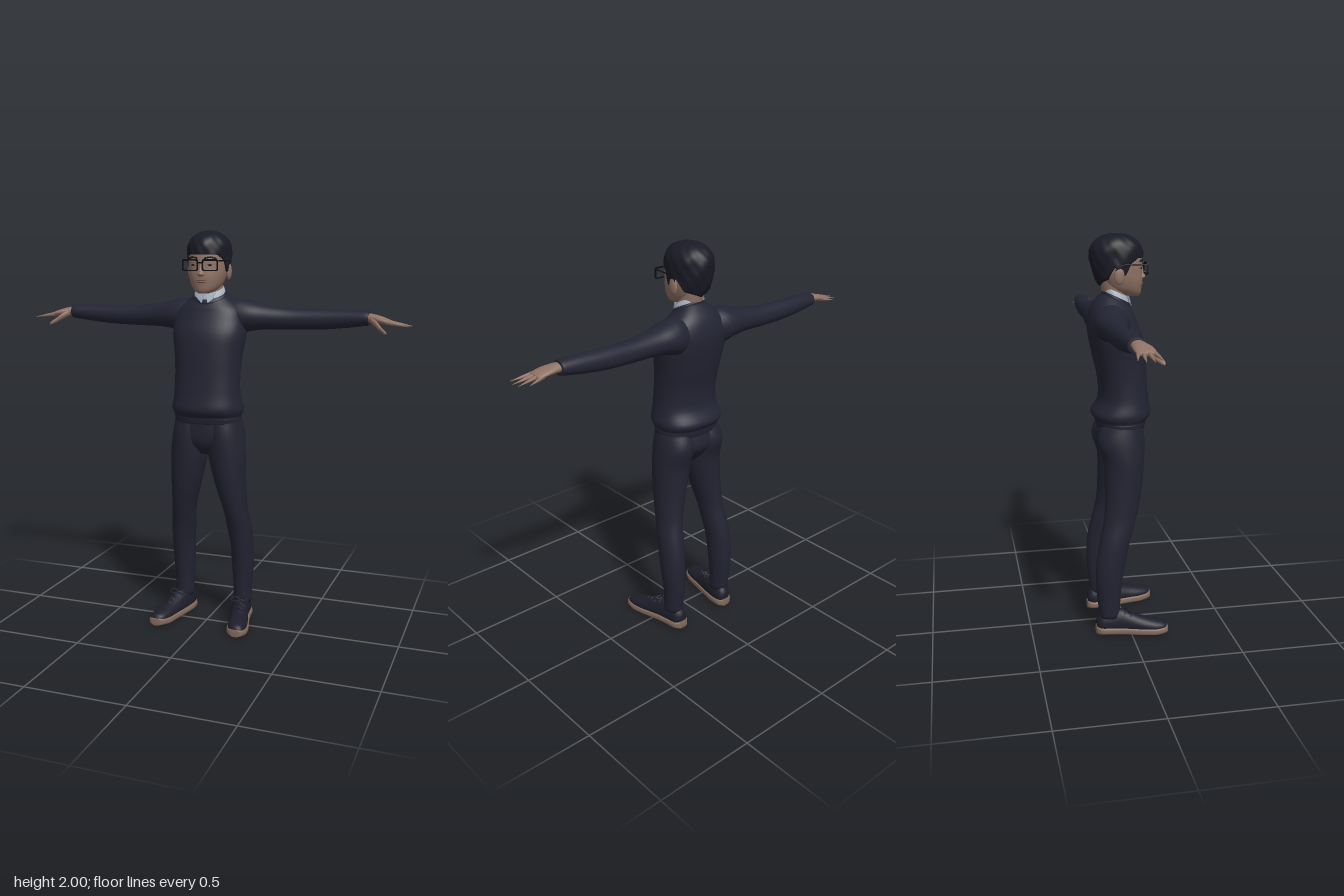
import * as THREE from 'three';

const mat = (name, color, side = THREE.FrontSide) => {
  const m = new THREE.MeshStandardMaterial({ color, side });
  m.name = name;
  return m;
};

// Closed tube of rows x seg points; fn(v, a) gives a point, flip reverses the winding
function grid(rows, seg, fn, flip = false, caps = true) {
  const pos = [], idx = [];
  const tri = (a, b, c) => (flip ? idx.push(a, c, b) : idx.push(a, b, c));
  for (let r = 0; r <= rows; r++)
    for (let s = 0; s < seg; s++) pos.push(...fn(r / rows, (s / seg) * Math.PI * 2));
  for (let r = 0; r < rows; r++)
    for (let s = 0; s < seg; s++) {
      const a = r * seg + s, b = r * seg + ((s + 1) % seg);
      tri(a, a + seg, b);
      tri(b, a + seg, b + seg);
    }
  if (caps)
    for (const r of [0, rows]) {
      const mid = [0, 0, 0], c = pos.length / 3;
      for (let s = 0; s < seg; s++) for (let k = 0; k < 3; k++) mid[k] += pos[(r * seg + s) * 3 + k] / seg;
      pos.push(...mid);
      for (let s = 0; s < seg; s++) {
        const a = r * seg + s, b = r * seg + ((s + 1) % seg);
        if (r) tri(c, b, a); else tri(c, a, b);
      }
    }
  const g = new THREE.BufferGeometry();
  g.setAttribute('position', new THREE.Float32BufferAttribute(pos, 3));
  g.setIndex(idx);
  g.computeVertexNormals();
  return g;
}

// Smooth loft through rings [t, centre1, radius1, centre2, radius2, tilt] along an axis
function loft(axis, rings, { seg = 28, sub = 4, n = 2, caps = true } = {}) {
  const last = rings.length - 1;
  const at = (v, k) => {
    const i = Math.min(Math.floor(v * last + 1e-9), last - 1), f = v * last - i;
    const p = (j) => rings[Math.max(0, Math.min(last, j))][k] || 0;
    const m0 = (p(i + 1) - p(i - 1)) / 2, m1 = (p(i + 2) - p(i)) / 2, d = p(i + 1) - p(i);
    return p(i) + m0 * f + (3 * d - 2 * m0 - m1) * f * f + (m0 + m1 - 2 * d) * f * f * f;
  };
  const pw = (c) => Math.sign(c) * Math.pow(Math.abs(c), 2 / n);
  return grid(last * sub, seg, (v, a) => {
    const t = at(v, 0) - at(v, 5) * at(v, 4) * Math.sin(a);
    const p = at(v, 1) + at(v, 2) * pw(Math.cos(a)), q = at(v, 3) + at(v, 4) * pw(Math.sin(a));
    return axis === 'y' ? [p, t, q] : axis === 'x' ? [t, p, q] : [p, q, t];
  }, axis !== 'y', caps);
}

function mirrored(geo) {
  const g = geo.clone().scale(-1, 1, 1), ix = g.index.array;
  for (let i = 0; i < ix.length; i += 3) [ix[i], ix[i + 1]] = [ix[i + 1], ix[i]];
  g.computeVertexNormals();
  return g;
}

const ball = (x, y, z, rx, ry, rz) => new THREE.SphereGeometry(1, 20, 14).scale(rx, ry, rz).translate(x, y, z);
const tube = (pts, r, closed = false) => new THREE.TubeGeometry(
  new THREE.CatmullRomCurve3(pts.map((p) => new THREE.Vector3(...p)), closed), 24, r, 6, closed);
const lerpTable = (tab, x) => {
  let i = 0;
  while (i < tab.length - 2 && x > tab[i + 1][0]) i++;
  return THREE.MathUtils.mapLinear(x, tab[i][0], tab[i + 1][0], tab[i][1], tab[i + 1][1]);
};

export function createModel() {
  const model = new THREE.Group();
  model.name = 'standingMan';
  const skin = mat('skin', 0x8f7264), lip = mat('lips', 0x7a5a50), hairMat = mat('hair', 0x191a25);
  const knit = mat('sweater', 0x232433), cloth = mat('trousers', 0x222331), leather = mat('shoes', 0x1d1e2a);
  const rubber = mat('soles', 0x836a5c), shirt = mat('shirt', 0xa4b1be, THREE.DoubleSide), black = mat('glasses', 0x0e0e12);
  const add = (name, geo, material) => {
    const m = new THREE.Mesh(geo, material);
    m.name = name;
    model.add(m);
  };
  const pair = (name, geo, material) => {
    add(name + 'Left', geo, material);
    add(name + 'Right', mirrored(geo), material);
  };

  // Sweater body with a gathered hem and tilted neckline
  add('sweaterBody', loft('y', [
    [1.06, 0, .168, -.022, .118], [1.085, 0, .171, -.022, .124], [1.095, 0, .17, -.022, .126],
    [1.13, 0, .181, -.02, .146], [1.2, 0, .168, -.007, .123], [1.3, 0, .165, -.013, .12],
    [1.4, 0, .172, -.027, .128], [1.5, 0, .186, -.043, .132], [1.57, 0, .18, -.06, .122],
    [1.62, 0, .165, -.063, .108, .1], [1.655, 0, .13, -.055, .092, .25], [1.69, 0, .08, -.04, .063, .5],
  ], { seg: 40, n: 2.3 }), knit);
  pair('sleeve', loft('x', [
    [.08, 1.585, .08, -.08, .075], [.14, 1.584, .09, -.088, .086], [.2, 1.587, .075, -.092, .084],
    [.28, 1.583, .061, -.097, .067], [.4, 1.577, .053, -.105, .052], [.55, 1.578, .05, -.108, .047],
    [.68, 1.584, .044, -.104, .044], [.76, 1.588, .037, -.098, .042], [.785, 1.588, .034, -.097, .039],
  ]), knit);
  add('neckline', loft('y', [
    [1.675, 0, .086, -.04, .069, .5], [1.69, 0, .088, -.04, .07, .5], [1.7, 0, .078, -.04, .062, .5],
  ]), knit);

  // Shirt collar and neck
  add('collar', loft('y', [
    [1.68, 0, .083, -.04, .066, .5], [1.705, 0, .077, -.042, .063, .5], [1.726, 0, .067, -.045, .058, .45],
  ], { caps: false }), shirt);
  for (const s of [-1, 1]) {
    const wing = new THREE.Shape([[.003, 1.694], [.05, 1.708], [.04, 1.672], [.016, 1.652]].map(
      ([x, y]) => new THREE.Vector2(s * x, y)));
    const g = new THREE.ExtrudeGeometry(wing, { depth: .004, bevelEnabled: false });
    const p = g.attributes.position;
    for (let i = 0; i < p.count; i++)
      p.setZ(i, p.getZ(i) + .032 - 4 * p.getX(i) ** 2 - (p.getY(i) - 1.652) * .25);
    g.computeVertexNormals();
    add(s > 0 ? 'collarWingLeft' : 'collarWingRight', g, shirt);
  }
  add('neck', loft('y', [
    [1.64, 0, .066, -.05, .056], [1.7, 0, .062, -.048, .058], [1.75, 0, .063, -.052, .062], [1.8, 0, .066, -.055, .066],
  ]), skin);

  // Head and face
  add('head', loft('y', [
    [1.7, 0, .026, .045, .026], [1.714, 0, .052, .02, .06], [1.74, 0, .074, -.002, .086],
    [1.78, 0, .088, -.012, .1], [1.82, 0, .094, -.022, .107], [1.87, 0, .095, -.027, .111],
    [1.93, 0, .085, -.032, .1], [1.97, 0, .045, -.035, .06],
  ], { seg: 36, n: 2.15 }), skin);
  add('nose', loft('y', [
    [1.782, 0, .01, .085, .008], [1.79, 0, .02, .087, .017], [1.8, 0, .016, .086, .017],
    [1.83, 0, .01, .081, .012], [1.86, 0, .009, .077, .008],
  ], { seg: 16 }), skin);
  add('upperLip', ball(0, 1.7635, .083, .03, .004, .0085), lip);
  add('lowerLip', ball(0, 1.7555, .082, .026, .005, .008), lip);
  pair('ear', ball(.099, 1.805, -.042, .013, .042, .025), skin);
  pair('eye', ball(.038, 1.836, .072, .016, .005, .008), black);
  pair('eyebrow', tube([[.016, 1.867, .083], [.045, 1.873, .077], [.07, 1.866, .06]], .0045), hairMat);

  // Tousled hair cap with a lower nape and sideburns
  const hairline = [[0, 1.885], [.75, 1.885], [1.1, 1.86], [1.35, 1.8], [1.55, 1.81], [1.75, 1.845], [2.1, 1.785], [3.15, 1.752]];
  add('hair', grid(30, 72, (v, a) => {
    const low = lerpTable(hairline, Math.acos(THREE.MathUtils.clamp(Math.sin(a), -1, 1)));
    const w = Math.max(0, v - 1 / 30) * 30 / 29;
    const y = low + (1.999 - low) * Math.sin(w * Math.PI / 2);
    const q = (1.9 - y) / .15, back = Math.max(0, -Math.sin(a));
    let k = q > 0 ? 1 - q * q * (.06 + .3 * back) : Math.sqrt(Math.max(0, 1 - Math.pow((y - 1.9) / .1, 2.4)));
    k *= 1 + .018 * Math.sin(6 * a + 45 * y) + .014 * Math.sin(13 * a - 80 * y);
    if (v === 0) k *= .85;
    return [.106 * k * Math.cos(a), y, -.04 + .129 * k * Math.sin(a)];
  }), hairMat);

  // Glasses
  const rect = (path, x0, x1, y0, y1, r) => {
    path.moveTo(x0 + r, y0).lineTo(x1 - r, y0).quadraticCurveTo(x1, y0, x1, y0 + r);
    path.lineTo(x1, y1 - r).quadraticCurveTo(x1, y1, x1 - r, y1).lineTo(x0 + r, y1);
    path.quadraticCurveTo(x0, y1, x0, y1 - r).lineTo(x0, y0 + r).quadraticCurveTo(x0, y0, x0 + r, y0);
    return path;
  };
  for (const s of [-1, 1]) {
    const side = s > 0 ? 'Left' : 'Right', c = s * .051;
    const rim = rect(new THREE.Shape(), c - .041, c + .041, 1.808, 1.864, .012);
    rim.holes.push(rect(new THREE.Path(), c - .035, c + .035, 1.813, 1.856, .009));
    add('glassesRim' + side, new THREE.ExtrudeGeometry(rim, { depth: .006, bevelEnabled: false }).translate(0, 0, .094), black);
    add('glassesArm' + side, tube([[s * .092, 1.856, .098], [s * .099, 1.856, .03], [s * .104, 1.852, -.035], [s * .103, 1.83, -.06]], .003), black);
  }
  add('glassesBridge', new THREE.BoxGeometry(.024, .007, .006).translate(0, 1.847, .097), black);

  // Hands: palm, four fingers and a thumb
  pair('palm', loft('x', [
    [.75, 1.592, .022, -.097, .029], [.8, 1.59, .021, -.09, .034], [.84, 1.584, .018, -.081, .043],
    [.875, 1.576, .014, -.077, .043], [.895, 1.573, .009, -.077, .036],
  ], { seg: 20 }), skin);
  const fingers = {
    indexFinger: [.87, .978, -.046, -.026], middleFinger: [.875, .99, -.067, -.066],
    ringFinger: [.872, .984, -.089, -.1], littleFinger: [.86, .945, -.107, -.126],
  };
  for (const [name, [x0, x1, z0, z1]] of Object.entries(fingers))
    pair(name, loft('x', [0, .5, .9, 1].map((f) => {
      const r = [.0105, .0095, .007, .002][Math.round(f * 3)];
      return [x0 + (x1 - x0) * f, 1.575 - .017 * f, r, z0 + (z1 - z0) * f, r];
    }), { seg: 10 }), skin);
  pair('thumb', loft('x', [
    [.795, 1.584, .014, -.07, .014], [.825, 1.566, .016, -.046, .015], [.85, 1.546, .012, -.026, .012],
    [.873, 1.531, .009, -.008, .009], [.882, 1.526, .003, -.003, .003],
  ], { seg: 12 }), skin);

  // Trousers
  add('hips', loft('y', [
    [.9, 0, .05, -.02, .06], [.95, 0, .13, -.024, .098], [1.0, 0, .176, -.032, .115], [1.08, 0, .168, -.025, .105],
  ]), cloth);
  pair('trouserLeg', loft('y', [
    [.09, .162, .046, -.105, .051], [.2, .162, .05, -.11, .06], [.3, .163, .057, -.107, .068],
    [.4, .162, .058, -.095, .075], [.5, .153, .062, -.075, .076], [.6, .141, .061, -.048, .08],
    [.7, .125, .073, -.032, .088], [.8, .111, .085, -.024, .096], [.9, .1, .095, -.022, .102],
    [1.0, .094, .091, -.034, .118], [1.08, .085, .083, -.025, .1],
  ]), cloth);

  // Shoes with soles and laces
  const foot = [
    [-.172, .155, .02, .05, .028], [-.15, .157, .04, .052, .055], [-.1, .16, .045, .055, .066],
    [-.05, .168, .045, .055, .074], [0, .18, .047, .05, .06], [.06, .195, .049, .045, .045],
    [.12, .206, .048, .042, .034], [.165, .212, .036, .04, .024], [.18, .214, .016, .036, .012],
  ];
  const upper = loft('z', foot);
  const up = upper.attributes.position;
  for (let i = 0; i < up.count; i++) up.setY(i, Math.max(.02, up.getY(i)));
  upper.computeVertexNormals();
  pair('shoe', upper, leather);
  pair('sole', loft('z', foot.map(([z, x, r], i) =>
    [z * 1.02, x, r + .006, i > 6 ? .026 : .021, i > 6 ? .019 : .021]), { n: 3.5 }), rubber);
  [[-.035, .172, .122], [-.005, .179, .111], [.025, .187, .1], [.052, .193, .09]].forEach(([z, x, y], i) =>
    pair('lace' + (i + 1), tube([[x - .03, y - .016, z], [x, y + .002, z + .006], [x + .03, y - .016, z]], .004), leather));
  for (const s of [-1, 1])
    pair(s > 0 ? 'outerBow' : 'innerBow', tube([
      [.172, .125, -.03], [.172 + s * .022, .138, -.022], [.172 + s * .042, .124, -.012], [.172 + s * .022, .116, -.015],
    ], .003, true), leather);

  return model;
}
